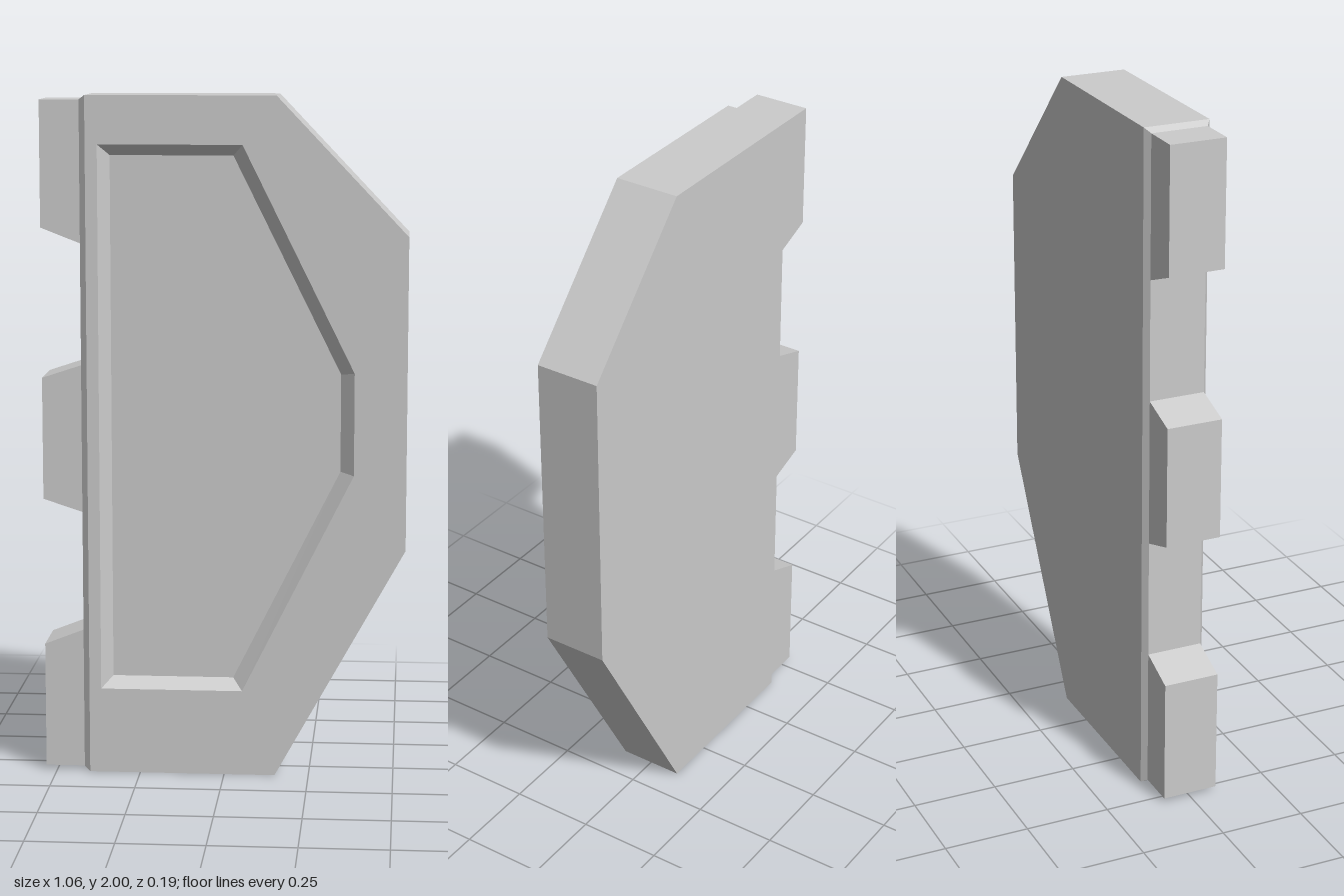
import * as THREE from 'three';

const D = 0.097;          // half thickness of the panel
const EDGE_D = 0.083;     // half thickness of the hinge edge
const FLOOR = D - 0.033;  // depth of the recess floor

const material = new THREE.MeshStandardMaterial({ color: 0xcccccc, flatShading: true });

const at = (points, z) => points.map(([x, y]) => [x, y, z]);

// Quads joining two matching loops of points
function band(a, b, closed = true) {
  const out = [];
  const n = a.length;
  for (let i = 0; i < (closed ? n : n - 1); i++) {
    const j = (i + 1) % n;
    out.push(a[i], a[j], b[j], a[i], b[j], b[i]);
  }
  return out;
}

// Flat face at depth z, optionally with a hole
function cap(outline, z, hole = [], back = false) {
  const contour = outline.map((p) => new THREE.Vector2(...p));
  const inner = [...hole].reverse().map((p) => new THREE.Vector2(...p));
  const all = [...contour, ...inner];
  const faces = THREE.ShapeUtils.triangulateShape(contour, inner.length ? [inner] : []);
  return faces.flatMap((f) => (back ? [...f].reverse() : f).map((i) => [all[i].x, all[i].y, z]));
}

// Rectangle across the thickness, facing -x
const rect = (x, y0, y1, d) => [[x, y0, -d], [x, y0, d], [x, y1, d], [x, y1, -d]];
const quad = ([a, b, c, d]) => [a, b, c, a, c, d];

function part(name, ...pieces) {
  const geometry = new THREE.BufferGeometry();
  geometry.setAttribute('position', new THREE.Float32BufferAttribute(pieces.flat(2), 3));
  geometry.computeVertexNormals();
  const mesh = new THREE.Mesh(geometry, material);
  mesh.name = name;
  return mesh;
}

export function createModel() {
  const group = new THREE.Group();
  group.name = 'panel';

  const outline = [[-0.4, 0], [0.15, 0], [0.53, 0.685], [0.53, 1.6], [0.15, 2], [-0.4, 2]];
  const rim = [[-0.365, 0.255], [0.053, 0.255], [0.378, 0.905], [0.378, 1.205], [0.053, 1.86], [-0.365, 1.86]];
  const floor = [[-0.332, 0.288], [0.025, 0.288], [0.338, 0.912], [0.338, 1.198], [0.025, 1.828], [-0.332, 1.828]];

  // Panel body, open on its hinge side
  group.add(part('body',
    cap(outline, D, rim),
    cap(outline, -D, [], true),
    band(at(outline, -D), at(outline, D), false)));

  // Recess with sloped walls
  group.add(part('recess', band(at(rim, D), at(floor, FLOOR)), cap(floor, FLOOR)));

  // Tabs: [base bottom, base top, tip bottom, tip top]
  const tabs = [
    [0.013, 0.43, 0.013, 0.385],
    [0.785, 1.22, 0.823, 1.182],
    [1.575, 1.987, 1.62, 1.987],
  ];
  const edgeX = -0.418, tipX = -0.533;

  // Bevelled hinge edge, with flat strips between the tabs
  group.add(part('hingeEdge',
    band(rect(-0.4, 0, 2, D), rect(edgeX, 0.013, 1.987, EDGE_D)),
    quad(rect(edgeX, tabs[0][1], tabs[1][0], EDGE_D)),
    quad(rect(edgeX, tabs[1][1], tabs[2][0], EDGE_D))));

  tabs.forEach(([b0, b1, t0, t1], i) => {
    const tip = rect(tipX, t0, t1, EDGE_D);
    group.add(part(`hingeTab${i + 1}`, band(rect(edgeX, b0, b1, EDGE_D), tip), quad(tip)));
  });

  return group;
}
